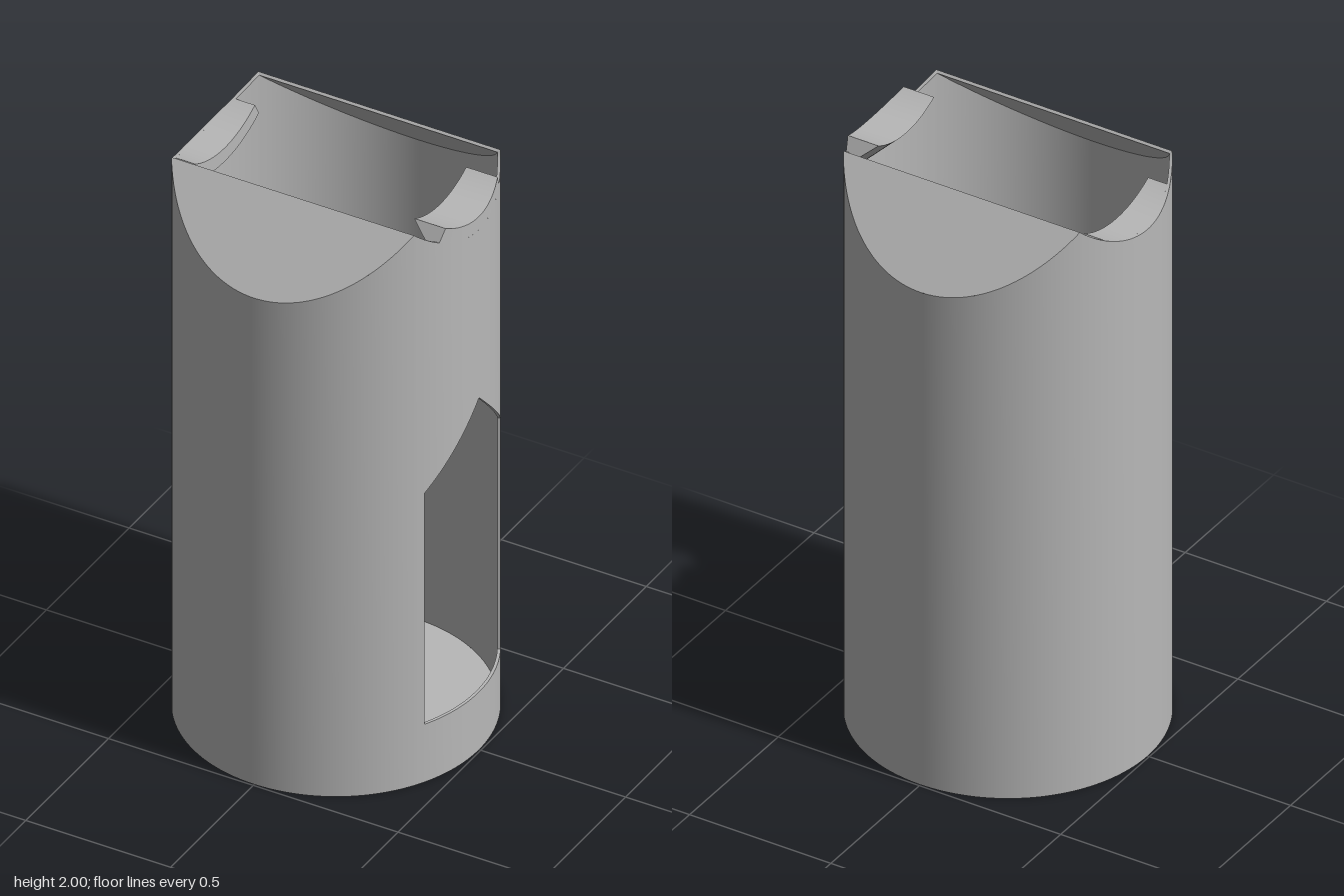
import * as THREE from 'three';
import { mergeGeometries } from 'three/addons/utils/BufferGeometryUtils.js';

const RO = 0.494, RI = 0.484;          // outer and inner wall radius
const RIDGE = 0.262;                   // half width of the open top
const AXIS_Y = 2 + RIDGE;              // axis of the round saddle cut
const SADDLE = RIDGE * Math.SQRT2;     // radius of the saddle cut
const ROOF_T = 0.014, FLOOR = 0.02;
const WIN = { half: 0.23, sill: 0.21, apex: 1.28 };
const RIM_IN = Math.sqrt(RIDGE ** 2 - ROOF_T ** 2 / 4) - ROOF_T / 2;
const chord = (r, z) => Math.sqrt(Math.max(0, r * r - z * z));

// Quad strip between two rows of points
function ribbon(a, b) {
  const pos = [], idx = [];
  a.forEach((p, i) => {
    pos.push(...p, ...b[i]);
    if (i) { const k = 2 * i; idx.push(k - 2, k - 1, k, k, k - 1, k + 1); }
  });
  const g = new THREE.BufferGeometry();
  g.setAttribute('position', new THREE.Float32BufferAttribute(pos, 3));
  g.setIndex(idx);
  g.computeVertexNormals();
  return g;
}

// Flat fan over a closed outline
function fan(points) {
  return ribbon(points.slice(1).map(() => points[0]).slice(0), points.slice(1));
}

// Height of the wall top: sloping roof or saddle cut, whichever is lower
function topY(z, drop) {
  const a = Math.abs(z);
  const roof = AXIS_Y - a - drop;
  return a < SADDLE ? Math.min(roof, AXIS_Y - chord(SADDLE, a)) : roof;
}

// Evenly spaced angles from a to b, plus exact break angles inside the range
function angles(a, b, n, breaks = []) {
  const list = Array.from({ length: n + 1 }, (_, i) => a + (b - a) * i / n);
  breaks.forEach(t => { if (t > a + 1e-4 && t < b - 1e-4) list.push(t); });
  return list.sort((p, q) => p - q);
}

const at = (r, t, y) => [r * Math.cos(t), y, r * Math.sin(t)];
const winAngle = Math.asin(WIN.half / RO);
const rimOut = Math.asin(RIDGE / RO), rimIn = Math.asin(RIM_IN / RI);
const breaks = [rimOut, rimIn].flatMap(t => [t, Math.PI - t, Math.PI + t, 2 * Math.PI - t]);
const bodyAngles = angles(winAngle, 2 * Math.PI - winAngle, 144, breaks);
const winAngles = angles(-winAngle, winAngle, 32);
const headY = t => WIN.apex - Math.abs(RO * Math.sin(t));

// Cylindrical skin with the pointed window left open
function skin(r, base, drop) {
  const row = (list, f) => list.map(t => at(r, t, f(t)));
  const top = t => topY(r * Math.sin(t), drop);
  return mergeGeometries([
    ribbon(row(bodyAngles, top), row(bodyAngles, () => base)),
    ribbon(row(winAngles, () => WIN.sill), row(winAngles, () => base)),
    ribbon(row(winAngles, top), row(winAngles, headY)),
  ]);
}

// Thickness of the window opening
function windowReveal() {
  const row = (r, f) => winAngles.map(t => at(r, t, f(t)));
  const parts = [
    ribbon(row(RO, () => WIN.sill), row(RI, () => WIN.sill)),
    ribbon(row(RO, headY), row(RI, headY)),
  ];
  for (const t of [-winAngle, winAngle]) {
    parts.push(ribbon([at(RO, t, WIN.sill), at(RO, t, headY(t))], [at(RI, t, WIN.sill), at(RI, t, headY(t))]));
  }
  return mergeGeometries(parts);
}

// Top edge of the wall on both saddle sides
function saddleRim() {
  return mergeGeometries([0, Math.PI].map(mid => {
    const list = angles(mid - rimOut, mid + rimOut, 40);
    return ribbon(list.map(t => at(RO, t, topY(RO * Math.sin(t), 0))),
      list.map(t => at(RI, t, topY(RI * Math.sin(t), ROOF_T))));
  }));
}

// Sloping roof plate: outside, underside and ridge edge
function roofPlate(s) {
  const sheet = (r, z0, drop) => {
    const zs = Array.from({ length: 41 }, (_, i) => z0 + (r - z0) * Math.sin(i / 40 * Math.PI / 2));
    const side = k => zs.map(z => [k * chord(r, z), AXIS_Y - z - drop, s * z]);
    return ribbon(side(-1), side(1));
  };
  const edge = (r, z, drop) => [-1, 1].map(k => [k * chord(r, z), AXIS_Y - z - drop, s * z]);
  return mergeGeometries([
    sheet(RO, RIDGE, 0), sheet(RI, RIM_IN, ROOF_T),
    ribbon(edge(RO, RIDGE, 0), edge(RI, RIM_IN, ROOF_T)),
  ]);
}

// Curved support lip: a wedge profile swept about the saddle axis
function supportLip(side, profile) {
  const half = 0.508, n = 24;
  const rows = Array.from({ length: n + 1 }, (_, i) => {
    const phi = -half + 2 * half * i / n;
    return profile(Math.sin(phi)).map(([rad, x]) =>
      [side * x, AXIS_Y - rad * Math.cos(phi), rad * Math.sin(phi)]);
  });
  const count = rows[0].length, parts = [];
  for (let k = 0; k < count; k++) {
    parts.push(ribbon(rows.map(r => r[k]), rows.map(r => r[(k + 1) % count])));
  }
  parts.push(fan(rows[0]), fan(rows[n]));
  return mergeGeometries(parts);
}

// Point where a 45 degree underside meets the inner wall
function wedgeFoot(s, shift) {
  let x = 0.45;
  for (let i = 0; i < 12; i++) x = chord(RI, (x + shift) * s);
  return [x + shift, x];
}

const leftProfile = s => [
  [0.323, 0.36], [0.323, chord(RO, 0.323 * s)], [SADDLE, chord(RO, SADDLE * s)],
  [SADDLE, chord(RI, SADDLE * s)], wedgeFoot(s, -0.037),
];
const rightProfile = s => [
  [SADDLE, 0.383], [SADDLE, chord(RI, SADDLE * s)], wedgeFoot(s, 0.037), [0.42, 0.383],
];

export function createModel() {
  const group = new THREE.Group();
  const grey = new THREE.MeshStandardMaterial({ color: 0xb8b8b8, side: THREE.DoubleSide });
  grey.name = 'plain grey';
  const add = (name, geometry) => {
    const mesh = new THREE.Mesh(geometry, grey);
    mesh.name = name;
    group.add(mesh);
    return mesh;
  };

  add('outerWall', skin(RO, 0, 0));
  add('innerWall', skin(RI, FLOOR, ROOF_T));
  add('windowReveal', windowReveal());
  add('saddleRim', saddleRim());
  add('frontRoof', roofPlate(1));
  add('backRoof', roofPlate(-1));
  add('leftSupportLip', supportLip(1, leftProfile));
  add('rightSupportLip', supportLip(-1, rightProfile));

  // Base plate, underside and inner floor
  add('baseUnderside', new THREE.CircleGeometry(RO, 128).rotateX(Math.PI / 2));
  add('innerFloor', new THREE.CircleGeometry(RI, 128).rotateX(-Math.PI / 2).translate(0, FLOOR, 0));
  return group;
}
